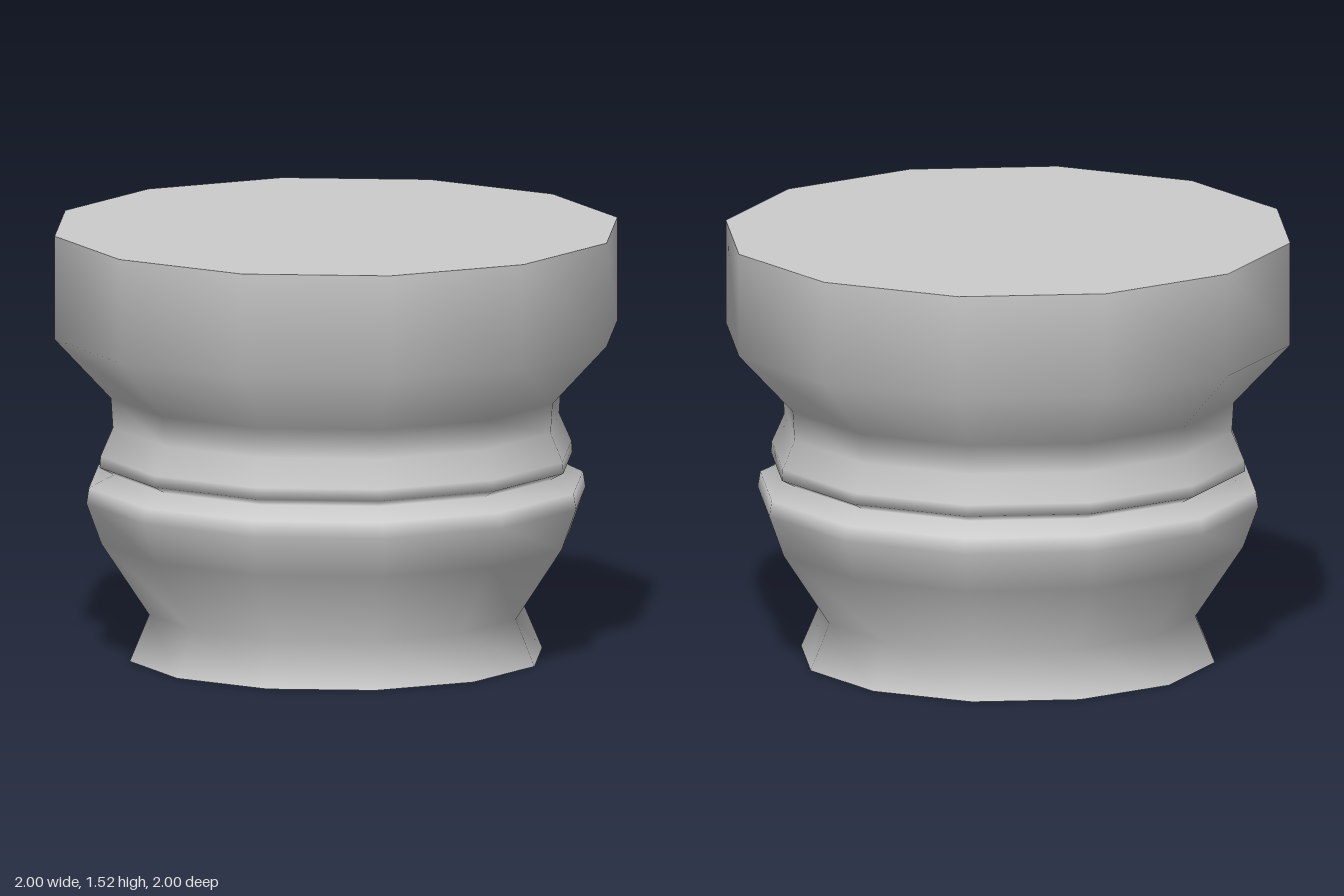
import * as THREE from 'three';

const SIDES = 12;

// Outline from the foot up to the rim: [radius, height]
const PROFILE = [
  [0.733, 0], [0.664, 0.163],                                // flared foot and neck
  [0.834, 0.42], [0.887, 0.565], [0.878, 0.62],              // lower bulge
  [0.79, 0.663],                                             // groove
  [0.84, 0.69], [0.837, 0.73], [0.793, 0.83], [0.8, 0.935],  // collar ring
  [1, 1.15], [1, 1.516],                                     // wide top drum
];

export function createModel() {
  const group = new THREE.Group();
  group.name = 'pedestal';
  const material = new THREE.MeshStandardMaterial({ color: 0xcccccc });

  const add = (name, geometry) => {
    const mesh = new THREE.Mesh(geometry, material);
    mesh.name = name;
    group.add(mesh);
    return mesh;
  };

  // Turned body, smooth shaded
  const points = PROFILE.map(([r, y]) => new THREE.Vector2(r, y));
  add('body', new THREE.LatheGeometry(points, SIDES));

  // Flat end caps
  const [bottom, top] = [PROFILE[0], PROFILE[PROFILE.length - 1]];
  add('bottomCap', new THREE.CircleGeometry(bottom[0], SIDES).rotateX(Math.PI / 2));
  add('topCap', new THREE.CircleGeometry(top[0], SIDES).rotateX(-Math.PI / 2)).position.y = top[1];

  return group;
}
